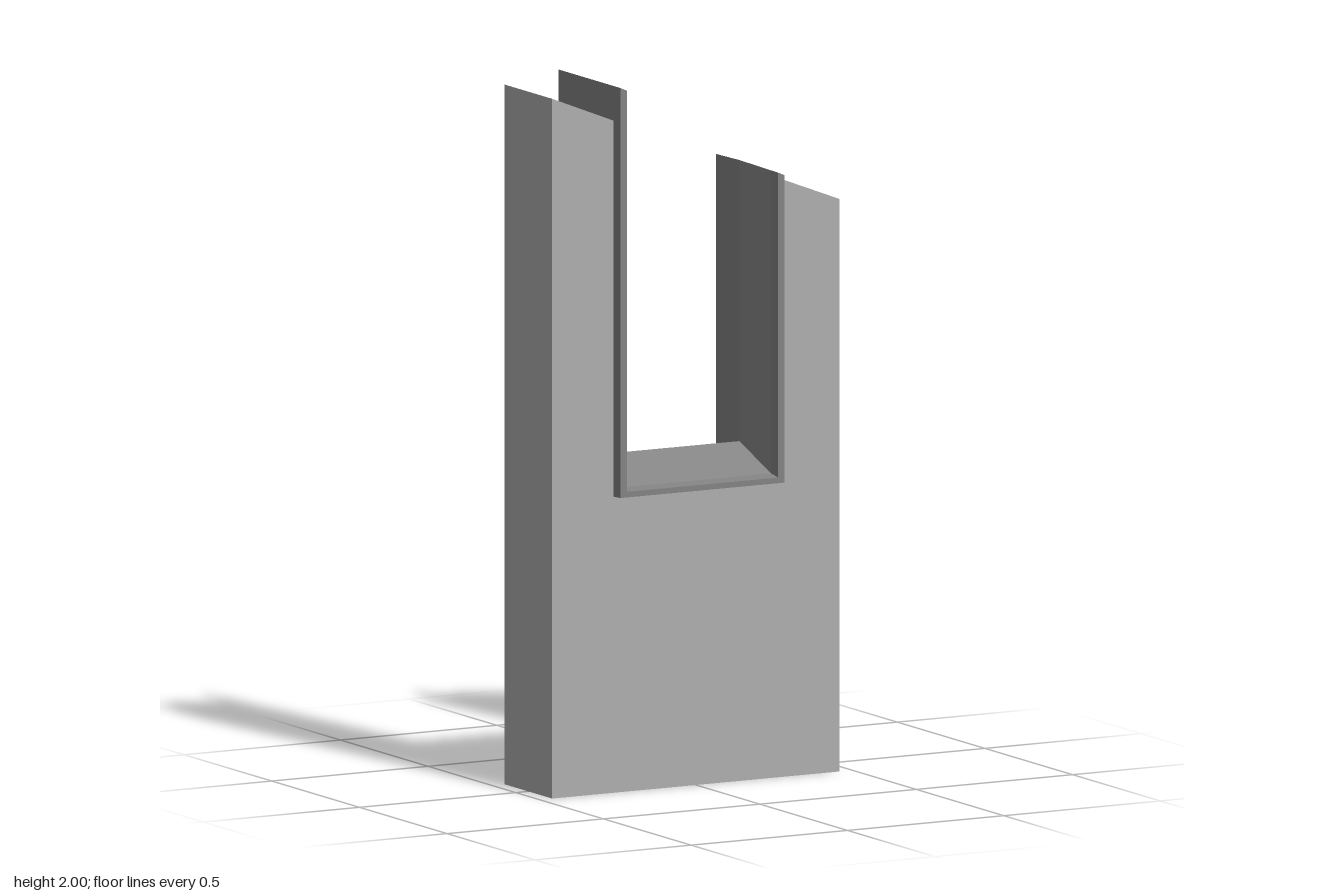
import * as THREE from 'three';

const wallMaterial = new THREE.MeshStandardMaterial({
  color: 0xaeaeae, flatShading: true, side: THREE.DoubleSide,
});
const frameMaterial = new THREE.MeshStandardMaterial({
  color: 0x838383, flatShading: true, side: THREE.DoubleSide,
});

// Mesh from a flat list of triangle corners
function meshFromPoints(points, material, name) {
  const geometry = new THREE.BufferGeometry();
  geometry.setAttribute('position', new THREE.Float32BufferAttribute(points, 3));
  geometry.computeVertexNormals();
  const mesh = new THREE.Mesh(geometry, material);
  mesh.name = name;
  return mesh;
}

// Hollow wall with a U-shaped opening and a sloping top; open underneath
function createWall() {
  const depth = 0.272;
  const outline = [
    [-0.46, 0], [0.459, 0], [0.459, 1.62], [0.26, 1.697],
    [0.26, 0.84], [-0.264, 0.84], [-0.264, 1.902], [-0.46, 1.98],
  ].map(([x, y]) => new THREE.Vector2(x, y));
  const solid = new THREE.ExtrudeGeometry(new THREE.Shape(outline), { depth, bevelEnabled: false });
  solid.translate(0, 0, -depth / 2);

  // Leave out the underside and the opening's edges, which the frame closes
  const pos = solid.getAttribute('position');
  const kept = [];
  for (let i = 0; i < pos.count; i += 3) {
    const tri = [0, 1, 2].map((k) => new THREE.Vector3().fromBufferAttribute(pos, i + k));
    const underside = tri.every((v) => v.y < 0.001);
    const opening = tri.every((v) => Math.abs(v.x) < 0.3 && v.y > 0.5);
    if (!underside && !opening) tri.forEach((v) => kept.push(v.x, v.y, v.z));
  }
  return meshFromPoints(kept, wallMaterial, 'wall');
}

// Frame lining the opening: a ridged cross-section carried down, across and up
function createFrame() {
  const left = -0.264, right = 0.26;
  // [z, inset of the jambs, height of the sill]
  const profile = [
    [0.177, 0, 0.84], [0.177, 0.02, 0.856], [0.136, 0.0205, 0.862], [0, 0.045, 0.935],
    [-0.178, 0.02, 0.845], [-0.178, 0, 0.822],
  ];
  const stations = [
    profile.map(([z, inset]) => [left + inset, 2 - inset * 0.45, z]),
    profile.map(([z, inset, sill]) => [left + inset, sill, z]),
    profile.map(([z, inset, sill]) => [right - inset, sill, z]),
    profile.map(([z, inset]) => [right - inset, 1.71 + inset * 0.45, z]),
  ];
  const n = profile.length;
  const points = [];
  const triangle = (a, b, c) => points.push(...a, ...b, ...c);

  for (let s = 0; s < stations.length - 1; s++) {
    for (let p = 0; p < n; p++) {
      const q = (p + 1) % n;
      const a = stations[s][p], b = stations[s + 1][p];
      const c = stations[s + 1][q], d = stations[s][q];
      triangle(a, b, c);
      triangle(a, c, d);
    }
  }
  // Slanted caps on the two jambs
  const first = stations[0], last = stations[3];
  for (let p = 1; p < n - 1; p++) {
    triangle(first[0], first[p], first[p + 1]);
    triangle(last[0], last[p + 1], last[p]);
  }
  return meshFromPoints(points, frameMaterial, 'openingFrame');
}

export function createModel() {
  const model = new THREE.Group();
  model.name = 'wallWithOpening';
  model.add(createWall(), createFrame());
  return model;
}
